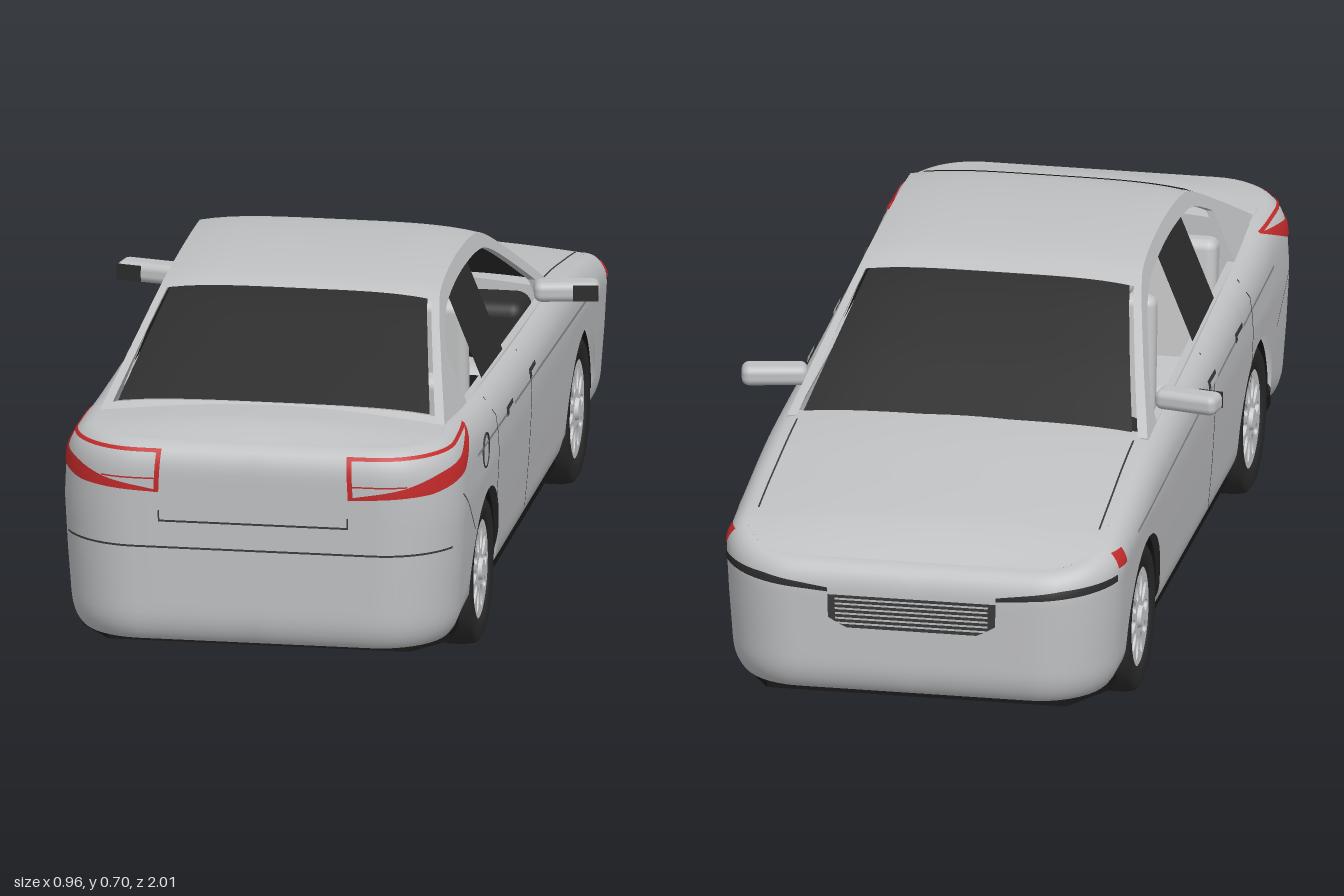
import * as THREE from 'three';
import { RoundedBoxGeometry } from 'three/addons/geometries/RoundedBoxGeometry.js';

const mat = (name, color) => new THREE.MeshStandardMaterial({ name, color, side: THREE.DoubleSide });

// linear lookup in a table of [key, value] rows
function look(t, k) {
  if (k <= t[0][0]) return t[0][1];
  for (let i = 1; i < t.length; i++) {
    if (k <= t[i][0]) {
      const f = (k - t[i - 1][0]) / (t[i][0] - t[i - 1][0]);
      return t[i - 1][1] + f * (t[i][1] - t[i - 1][1]);
    }
  }
  return t[t.length - 1][1];
}
const spline = (rows) => new THREE.SplineCurve(rows.map(p => new THREE.Vector2(...p))).getPoints(80).map(p => [p.x, p.y]);

// smooth surface from f(i, j) -> [x, y, z]
function grid(nu, nv, f) {
  const pos = [], idx = [];
  for (let i = 0; i <= nu; i++) for (let j = 0; j <= nv; j++) {
    pos.push(...f(i, j));
    if (i < nu && j < nv) {
      const a = i * (nv + 1) + j, b = a + nv + 1;
      idx.push(a, b, a + 1, b, b + 1, a + 1);
    }
  }
  const g = new THREE.BufferGeometry();
  g.setAttribute('position', new THREE.Float32BufferAttribute(pos, 3));
  g.setIndex(idx);
  g.computeVertexNormals();
  return g;
}

// half of the plan outline, measured from the tail centre along +x to the nose centre
const R = 0.16, FLAT = 0.4 - R, ARC = Math.PI * R / 2, SIDE = 2 - 2 * R;
const LEN = 2 * FLAT + 2 * ARC + SIDE;
function ring(a) {
  if (a > LEN / 2) { const r = ring(LEN - a); return { ...r, z: -r.z, nz: -r.nz }; }
  if (a < FLAT) return { x: a, z: 1, nx: 0, nz: 1 };
  if (a < FLAT + ARC) {
    const t = (a - FLAT) / R;
    return { x: FLAT + R * Math.sin(t), z: 1 - R + R * Math.cos(t), nx: Math.sin(t), nz: Math.cos(t) };
  }
  return { x: 0.4, z: 1 - R - (a - FLAT - ARC), nx: 1, nz: 0 };
}
const atZ = z => FLAT + ARC + 1 - R - z;

const WHEELS = [0.56, -0.6], ARCH = 0.17, AXLE = 0.145;
const BELT = spline([[-1, 0.365], [-0.9, 0.388], [-0.7, 0.422], [-0.42, 0.455], [0, 0.465], [0.55, 0.485], [0.75, 0.5], [1, 0.503]]);
const WIDTH = [[0.09, 0.385], [0.16, 0.387], [0.25, 0.394], [0.36, 0.4], [0.42, 0.397], [0.5, 0.388]];
function lowerEdge(z) {
  let y = 0.098;
  for (const c of WHEELS) {
    const d = Math.abs(z - c);
    if (d < ARCH) y = Math.max(y, AXLE + Math.sqrt(ARCH * ARCH - d * d));
  }
  return y;
}
const round = (d, h) => (d >= h ? 0 : 1 - Math.sqrt(1 - (1 - Math.max(d, 0) / h) ** 2));
// point on the body skin
function body(a, y, off = 0) {
  const p = ring(a), top = look(BELT, p.z);
  const inset = 0.042 * round(top - y, 0.06) + 0.04 * round(y - 0.09, 0.07) - off;
  return [p.x * look(WIDTH, y) / 0.4 - p.nx * inset, y, p.z - p.nz * inset];
}

// cabin: edge line of the roof and sloping sides
const ROOF = spline([[-0.42, 0.457], [-0.25, 0.56], [-0.08, 0.65], [0.02, 0.675], [0.2, 0.684], [0.37, 0.676], [0.46, 0.655], [0.6, 0.588], [0.77, 0.5]]);
const cabinX = y => 0.36 - (y - 0.46) * 0.4;
const skin = (z0, z1, s0, s1, off = 0) => grid(24, 20, (i, j) => {
  const z = z0 + (z1 - z0) * i / 24, s = s0 + (s1 - s0) * j / 20, y = look(ROOF, z);
  return [s * cabinX(y), y + 0.014 * (1 - s ** 4) + off, z];
});

export function createModel() {
  const car = new THREE.Group();
  car.name = 'sedan';
  const silver = mat('silver paint', 0xbfc0c2), glass = mat('dark glass', 0x2c2c2c), black = mat('black underside', 0x181818);
  const rubber = mat('tyre rubber', 0x2a2a2a), red = mat('lamp red', 0xc42a2a), rimMat = mat('wheel alloy', 0xc8cacc);
  const trim = mat('seam grey', 0x3a3a3a), cloth = mat('seat cloth', 0xc4c5c6), crease = mat('crease grey', 0x8a8b8d);
  const add = (name, geo, m, parent = car) => {
    const mesh = new THREE.Mesh(geo, m);
    mesh.name = name;
    parent.add(mesh);
    return mesh;
  };
  const both = (name, geo, m) => {
    add(name + 'Left', geo, m);
    add(name + 'Right', geo.clone().scale(-1, 1, 1), m);
  };
  // thin painted strip that follows the body, from outline a0 to a1
  const strip = (name, m, a0, a1, lo, hi, off = 0.003) => {
    const n = Math.max(2, Math.ceil(Math.abs(a1 - a0) / 0.02));
    both(name, grid(n, 6, (i, j) => {
      const t = i / n, l = look(lo, t), h = look(hi, t);
      return body(a0 + (a1 - a0) * t, l + (h - l) * j / 6, off);
    }), m);
  };
  const flat = (name, m, a0, a1, lo, hi, off) => strip(name, m, a0, a1, [[0, lo]], [[0, hi]], off);

  // lower body shell with wheel arches
  const cols = [];
  for (let i = 0; i < 5; i++) cols.push(FLAT * i / 5, LEN - FLAT * i / 5);
  for (let i = 0; i <= 10; i++) cols.push(FLAT + ARC * i / 10, LEN - FLAT - ARC * i / 10);
  for (const c of WHEELS) for (let i = 0; i <= 28; i++) cols.push(atZ(c + ARCH * Math.cos(Math.PI * i / 28)));
  for (let z = -0.4; z < 0.39; z += 0.06) cols.push(atZ(z));
  cols.sort((p, q) => p - q);
  both('bodySide', grid(cols.length - 1, 24, (i, j) => {
    const z = ring(cols[i]).z, lo = lowerEdge(z), t = 0.5 - 0.5 * Math.cos(Math.PI * j / 24);
    return body(cols[i], lo + (look(BELT, z) - lo) * t);
  }), silver);

  // bonnet and boot lid, crowned between the body edges
  const deckPoint = (a, s) => {
    const z = ring(a).z, p = body(a, look(BELT, z)), k = Math.min(1, (1 - Math.abs(z)) / 0.16);
    return [p[0] * s, p[1] + 0.022 * Math.sin(k * Math.PI / 2) * (1 - s * s), p[2]];
  };
  const deck = (name, a0, a1) => add(name, grid(40, 20, (i, j) => deckPoint(a0 + (a1 - a0) * i / 40, j / 10 - 1)), silver);
  deck('bonnet', LEN - FLAT, atZ(-0.39));
  deck('bootLid', FLAT, atZ(0.72));
  both('bonnetSeam', grid(30, 1, (i, j) => {
    const p = deckPoint(atZ(-0.82 + 0.38 * i / 30), 0.955 + 0.01 * j);
    return [p[0], p[1] + 0.003, p[2]];
  }), trim);

  // cabin roof, screens and their frames
  add('roof', skin(-0.085, 0.445, -1, 1), silver);
  for (const [name, z0, z1, g0, g1] of [['windscreen', -0.42, -0.085, -0.415, -0.088], ['rearScreen', 0.445, 0.77, 0.448, 0.75]]) {
    both(name + 'Frame', skin(z0, z1, 0.945, 1), silver);
    add(name, skin(g0, g1, -0.915, 0.915, 0.002), glass);
  }
  add('rearScreenSill', skin(0.75, 0.77, -1, 1), silver);

  // cabin sides with an open window hole
  const side = new THREE.Shape([new THREE.Vector2(-0.42, 0.44), new THREE.Vector2(0.77, 0.47),
    ...ROOF.slice().reverse().map(p => new THREE.Vector2(...p))]);
  const hole = [new THREE.Vector2(-0.32, 0.458), new THREE.Vector2(0.54, 0.484)];
  for (let i = 0; i <= 24; i++) {
    const z = 0.54 - 0.85 * i / 24;
    hole.push(new THREE.Vector2(z, look(ROOF, z) - 0.03));
  }
  side.holes.push(new THREE.Path(hole));
  const sideGeo = new THREE.ExtrudeGeometry(side, { depth: 0.015, bevelEnabled: false });
  const sp = sideGeo.attributes.position;
  for (let i = 0; i < sp.count; i++) {
    const z = sp.getX(i), y = sp.getY(i);
    sp.setXYZ(i, cabinX(y) - sp.getZ(i), y, z);
  }
  sideGeo.computeVertexNormals();
  both('cabinSide', sideGeo, silver);
  both('rearDoorGlass', grid(1, 1, (i, j) => {
    const y = 0.465 + 0.19 * j;
    return [cabinX(y) - 0.006, y, 0.108 + 0.237 * i];
  }), glass);

  // flat floor with wheel notches
  const half = [[0.3, 0.93], [0.365, 0.84]];
  for (const c of WHEELS) half.push([0.365, c + 0.168], [0.27, c + 0.168], [0.27, c - 0.168], [0.365, c - 0.168]);
  half.push([0.365, -0.84], [0.3, -0.95]);
  const plan = [...half, ...half.slice().reverse().map(([x, z]) => [-x, z])];
  add('floor', new THREE.ExtrudeGeometry(new THREE.Shape(plan.map(p => new THREE.Vector2(...p))),
    { depth: 0.028, bevelEnabled: false }).rotateX(Math.PI / 2).translate(0, 0.108, 0), black);

  // wheels and wheel wells
  const tyreGeo = new THREE.LatheGeometry([[0.096, -0.04], [0.135, -0.042], [0.146, -0.034], [0.15, -0.015], [0.15, 0.015],
    [0.146, 0.034], [0.135, 0.042], [0.1, 0.04], [0.096, 0.025]].map(p => new THREE.Vector2(...p)), 40).rotateZ(-Math.PI / 2);
  const rim = new THREE.Shape().absarc(0, 0, 0.1, 0, Math.PI * 2);
  for (let i = 0; i < 10; i++) {
    const t = i * Math.PI / 5;
    rim.holes.push(new THREE.Path().absellipse(0.062 * Math.cos(t), 0.062 * Math.sin(t), 0.024, 0.012, 0, Math.PI * 2, true, t));
  }
  const rimGeo = new THREE.ExtrudeGeometry(rim, { depth: 0.01, bevelEnabled: false, curveSegments: 20 }).rotateY(Math.PI / 2);
  for (const z of WHEELS) for (const m of [1, -1]) {
    const w = new THREE.Group();
    w.name = 'wheel';
    w.position.set(m * 0.343, 0.15, z);
    w.rotation.y = m > 0 ? 0 : Math.PI;
    add('tyre', tyreGeo, rubber, w);
    add('rim', rimGeo, rimMat, w).position.x = 0.026;
    add('rimDish', new THREE.CylinderGeometry(0.098, 0.098, 0.03, 32).rotateZ(Math.PI / 2), rimMat, w);
    add('hub', new THREE.CylinderGeometry(0.02, 0.024, 0.01, 20).rotateZ(-Math.PI / 2), rimMat, w).position.x = 0.039;
    add('wheelWell', grid(24, 1, (i, j) => {
      const t = Math.PI * i / 24;
      return [-0.08 + 0.118 * j, -0.005 + 0.169 * Math.sin(t), 0.169 * Math.cos(t)];
    }), black, w);
    add('wellBack', new THREE.CircleGeometry(0.169, 24, 0, Math.PI).rotateY(Math.PI / 2), black, w).position.x = -0.08;
    car.add(w);
  }

  // tail lamps: outlined panel with a wedge running round the corner
  flat('tailLampInner', red, 0.19, 0.2, 0.405, 0.49);
  strip('tailLampTop', red, 0.19, atZ(0.7), [[0, 0.483], [1, 0.487]], [[0, 0.49], [1, 0.492]]);
  flat('tailLampDivider', red, 0.2, 0.31, 0.431, 0.434);
  strip('tailLampWedge', red, 0.19, atZ(0.7), [[0, 0.405], [0.4, 0.413], [0.7, 0.436], [1, 0.488]],
    [[0, 0.409], [0.25, 0.428], [0.45, 0.452], [0.7, 0.468], [1, 0.49]]);
  flat('sideMarker', red, atZ(-0.84), atZ(-0.885), 0.352, 0.382);

  // seams and creases
  flat('bumperSeam', trim, 0, 0.42, 0.291, 0.295);
  flat('plateRecessBase', trim, 0, 0.19, 0.345, 0.349);
  flat('plateRecessSide', trim, 0.187, 0.19, 0.345, 0.368);
  flat('frontDoorSeam', trim, atZ(0.075), atZ(0.07), 0.14, 0.462);
  flat('rearDoorSeam', trim, atZ(0.468), atZ(0.463), 0.26, 0.475);
  strip('quarterSeam', trim, atZ(0.87), atZ(0.73), [[0, 0.39], [1, 0.28]], [[0, 0.394], [1, 0.284]]);
  strip('sideCrease', crease, atZ(0.7), atZ(-0.72), [[0, 0.418], [1, 0.368]], [[0, 0.424], [1, 0.374]], 0.002);
  for (const z of [0.325, 0.05]) {
    flat('handleRecess', trim, atZ(z + 0.037), atZ(z - 0.037), 0.405, 0.425, 0.004);
    flat('handle', silver, atZ(z + 0.034), atZ(z - 0.034), 0.408, 0.421, 0.008);
  }
  const cap = add('fuelCap', new THREE.TorusGeometry(0.034, 0.002, 6, 32).rotateY(Math.PI / 2), trim);
  cap.position.set(0.399, 0.405, 0.6);

  // nose: grille with bars, slim dark lamps
  strip('grille', trim, LEN, LEN - 0.17, [[0, 0.235], [0.8, 0.235], [1, 0.255]], [[0, 0.302]], 0.002);
  for (let i = 0; i < 6; i++) flat('grilleBar', silver, LEN, LEN - 0.155, 0.243 + i * 0.01, 0.247 + i * 0.01, 0.005);
  strip('headLamp', glass, LEN - 0.17, LEN - 0.44, [[0, 0.308], [1, 0.328]], [[0, 0.316], [0.5, 0.334], [1, 0.342]]);

  // door mirrors with dark rear faces
  for (const m of [1, -1]) {
    const g = new THREE.Group();
    g.name = 'doorMirror';
    g.position.set(m * 0.415, 0.488, -0.272);
    g.rotation.y = m * 0.2;
    add('mirrorShell', new RoundedBoxGeometry(0.13, 0.04, 0.055, 3, 0.015), silver, g);
    add('mirrorGlass', new THREE.BoxGeometry(0.05, 0.032, 0.004), glass, g).position.set(m * 0.036, 0, 0.028);
    car.add(g);
  }

  // seats and dashboard
  const seat = (name, x, y, z, w, h, d, tilt = 0) => {
    const s = add(name, new RoundedBoxGeometry(w, h, d, 3, 0.02), cloth);
    s.position.set(x, y, z);
    s.rotation.x = tilt;
  };
  for (const x of [-0.17, 0.17]) {
    seat('frontSeatBack', x, 0.4, 0.09, 0.22, 0.33, 0.05, 0.08);
    seat('headrest', x, 0.595, 0.095, 0.13, 0.06, 0.04);
    seat('frontSeatCushion', x, 0.25, -0.02, 0.22, 0.08, 0.22);
    seat('rearSeatBack', x, 0.4, 0.52, 0.3, 0.27, 0.06, 0.1);
  }
  seat('rearSeatCushion', 0, 0.26, 0.4, 0.6, 0.08, 0.22);
  const dash = add('dashboard', new RoundedBoxGeometry(0.66, 0.12, 0.12, 3, 0.03), glass);
  dash.position.set(0, 0.395, -0.33);
  return car;
}
